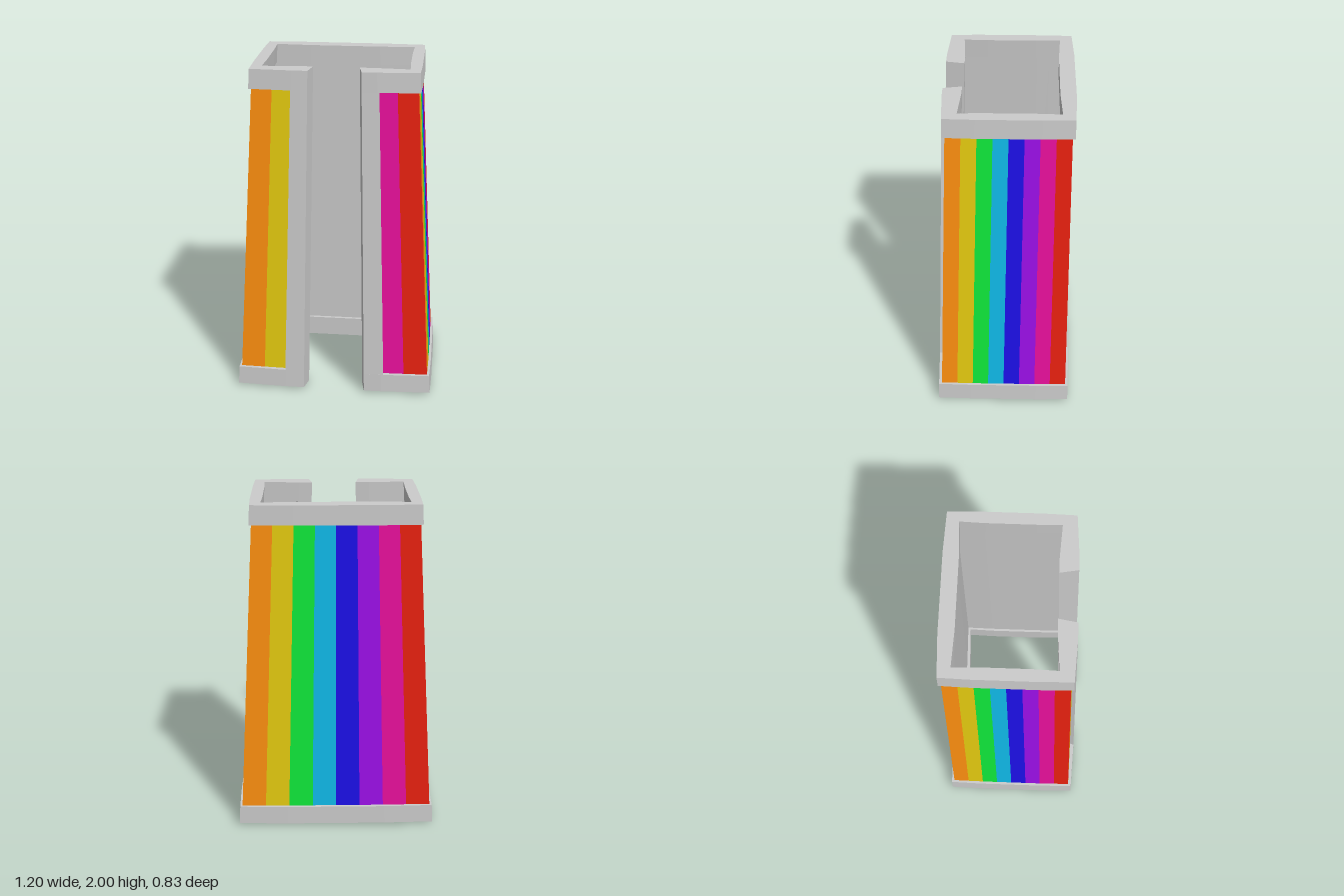
import * as THREE from 'three';

const GREY = 0xcccccc;
const STRIPES = [0xff9010, 0xe6cc10, 0x10ea3b, 0x10bbea, 0x1d10ea, 0x9d10ea, 0xea109d, 0xea2110];
const SIDES = ['front', 'right', 'back', 'left'];
const LOW = 0.125, HIGH = 1.885;                 // inner edges of the two rims
const GAP = [0.346, 0.66], TRIM = [0.247, 0.762]; // opening and trim edges along the front

// Point on the tapered, slightly bowed wall: u runs left to right along a side
// seen from outside, t runs from the outer surface (0) to the inner one (1).
function wallPoint(side, u, y, t) {
  const k = y / 2;
  const x = THREE.MathUtils.lerp(0.595, 0.485, k) - 0.06 * t;
  const zf = THREE.MathUtils.lerp(0.4, 0.325, k) - 0.08 * t;
  const zb = THREE.MathUtils.lerp(-0.41, -0.395, k) + 0.07 * t;
  const corners = [[-x, zf], [x, zf], [x, zb], [-x, zb]];
  const a = corners[side], b = corners[(side + 1) % 4];
  const out = [[0, 1], [1, 0], [0, -1], [-1, 0]][side];
  const bow = [0.014, 0.005, 0.01, 0.005][side] * Math.min(1, 4 * Math.min(u, 1 - u)) * (1 - 2 * t);
  return [
    a[0] + (b[0] - a[0]) * u + out[0] * bow, y,
    a[1] + (b[1] - a[1]) * u + out[1] * bow,
  ];
}

function meshFromQuads(name, quads, color = GREY) {
  const pos = [];
  for (const [a, b, c, d] of quads) pos.push(...a, ...b, ...c, ...a, ...c, ...d);
  const geo = new THREE.BufferGeometry();
  geo.setAttribute('position', new THREE.Float32BufferAttribute(pos, 3));
  geo.computeVertexNormals();
  const mesh = new THREE.Mesh(geo, new THREE.MeshStandardMaterial({ color, flatShading: true }));
  mesh.name = name;
  return mesh;
}

// Solid band following a path of [side, u] stations; drop lowers its inner bottom edge
function band(name, path, y0, y1, drop = 0) {
  const rings = path.map(([s, u]) => [
    wallPoint(s, u, y0, 0), wallPoint(s, u, y1, 0),
    wallPoint(s, u, y1, 1), wallPoint(s, u, y0 - drop, 1),
  ]);
  const quads = [rings[0], [...rings[rings.length - 1]].reverse()];
  for (let i = 0; i < rings.length - 1; i++) {
    for (let k = 0; k < 4; k++) {
      const n = (k + 1) % 4;
      quads.push([rings[i][k], rings[i + 1][k], rings[i + 1][n], rings[i][n]]);
    }
  }
  return meshFromQuads(name, quads);
}

// Path all the way round from one edge of the opening to the other
function roundPath() {
  const path = [[0, GAP[1]], [0, 0.75], [0, 0.875]];
  for (let s = 1; s < 4; s++) for (let i = 0; i < 8; i++) path.push([s, i / 8]);
  path.push([0, 0], [0, 0.125], [0, 0.25], [0, GAP[0]]);
  return path;
}

export function createModel() {
  const model = new THREE.Group();
  model.name = 'stripedCloak';

  // Rims
  model.add(band('bottomRim', roundPath(), 0.012, LOW, 0.012));
  model.add(band('topRim', roundPath(), HIGH, 2));

  // Upright trim on each side of the opening
  model.add(band('rightTrim', [[0, GAP[1]], [0, 0.75], [0, TRIM[1]]].filter(p => p[1] !== 0.75), LOW, HIGH));
  model.add(band('leftTrim', [[0, TRIM[0]], [0, GAP[0]]], LOW, HIGH));

  // Striped outer panels and plain lining, both set back from the frame
  const lining = [];
  SIDES.forEach((sideName, s) => {
    const panel = new THREE.Group();
    panel.name = sideName + 'Panel';
    STRIPES.forEach((color, i) => {
      if (s === 0 && i > 1 && i < 6) return; // front opening
      const u0 = i / 8, u1 = (i + 1) / 8;
      const p = (u, y, t) => wallPoint(s, u, y, t);
      // stop the front stripes inside the trim
      const a = s === 0 && i === 6 ? TRIM[1] - 0.01 : u0;
      panel.add(meshFromQuads(sideName + 'Stripe' + (i + 1),
        [[p(a, LOW, 0.22), p(u1, LOW, 0.22), p(u1, HIGH, 0.22), p(a, HIGH, 0.22)]], color));
      lining.push([p(u1, LOW, 0.78), p(a, LOW, 0.78), p(a, HIGH, 0.78), p(u1, HIGH, 0.78)]);
    });
    model.add(panel);
  });
  model.add(meshFromQuads('lining', lining));

  return model;
}
